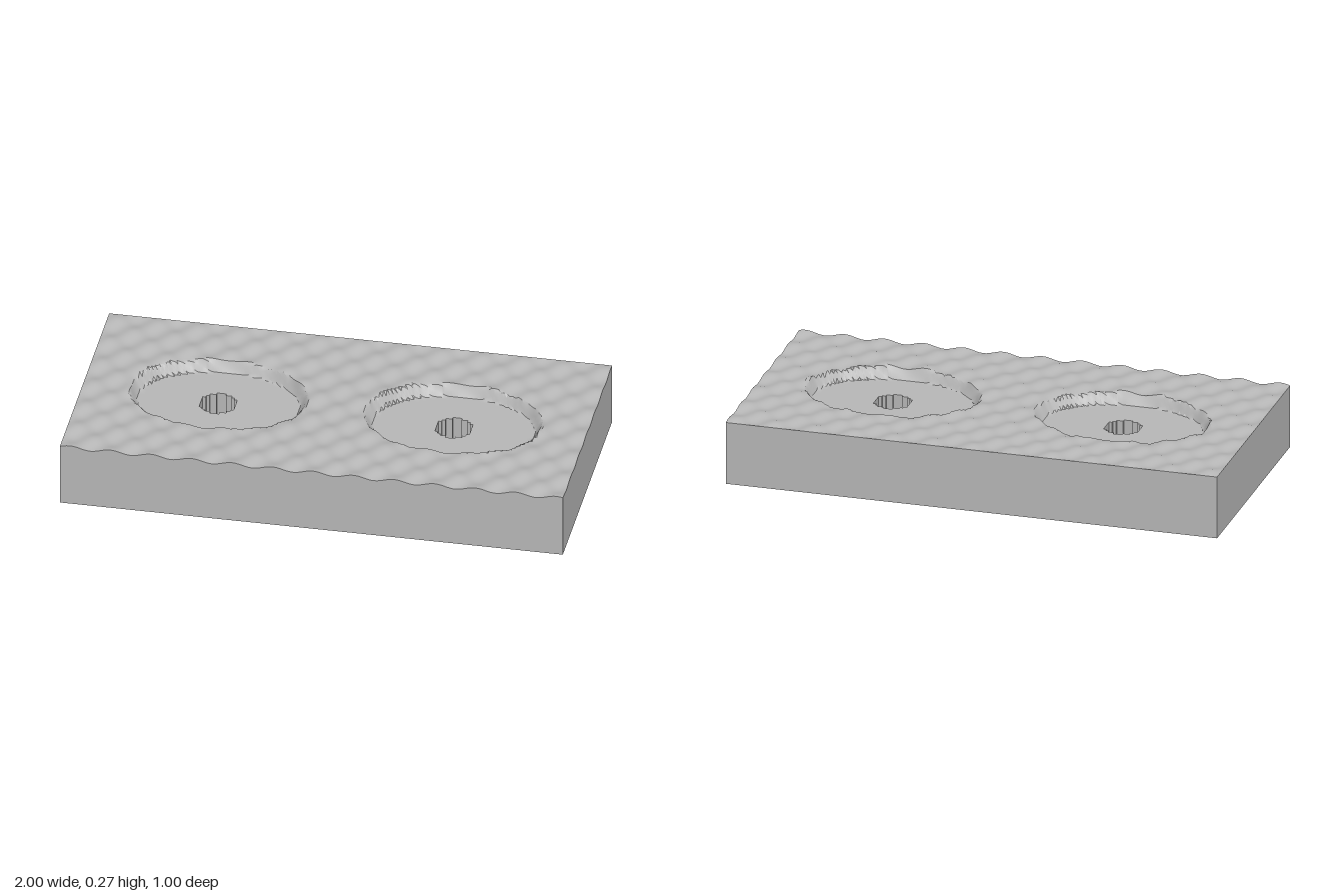
import * as THREE from 'three';
import { toCreasedNormals } from 'three/addons/utils/BufferGeometryUtils.js';

const NX = 160, NZ = 80, CELL = 2 / NX;   // grid over the 2 x 1 slab
const TOP = 0.2575, RIPPLE = 0.0078, WAVE = 39;
const FLOOR = 0.213;                      // height of the basin floors
const BASIN_X = 0.467, HOLE_X = 37.5 * CELL, HOLE_R = 0.07;

const px = i => -1 + i * CELL;
const pz = j => -0.5 + j * CELL;

// Rippled top with two elliptical basins that have steep sloping walls
function height(x, z) {
  const wave = TOP + RIPPLE * Math.sin(WAVE * (x + 1)) * Math.sin(WAVE * (z + 0.5));
  const r = Math.hypot((Math.abs(x) - BASIN_X) / 0.35, z / 0.25);
  const t = THREE.MathUtils.clamp((1 - r) / 0.08, 0, 1);
  return THREE.MathUtils.lerp(wave, FLOOR, t);
}

// A cell is solid unless it lies outside the slab or in a drain hole
function solid(i, j) {
  if (i < 0 || j < 0 || i >= NX || j >= NZ) return false;
  return Math.hypot(Math.abs(px(i + 0.5)) - HOLE_X, pz(j + 0.5)) > HOLE_R;
}

function quad(list, a, b, c, d) {
  list.push(...a, ...b, ...c, ...a, ...c, ...d);
}

function toMesh(name, list, material) {
  const g = new THREE.BufferGeometry();
  g.setAttribute('position', new THREE.Float32BufferAttribute(list, 3));
  const mesh = new THREE.Mesh(toCreasedNormals(g, Math.PI / 6), material);
  mesh.name = name;
  return mesh;
}

export function createModel() {
  const grey = new THREE.MeshStandardMaterial({ color: 0xb8b8b8 });
  grey.name = 'stone grey';

  const top = [], bottom = [], sides = [], holes = [];
  const up = (i, j) => [px(i), height(px(i), pz(j)), pz(j)];
  const down = (i, j) => [px(i), 0, pz(j)];

  for (let i = 0; i < NX; i++) {
    for (let j = 0; j < NZ; j++) {
      if (!solid(i, j)) continue;
      const corners = [[i, j], [i, j + 1], [i + 1, j + 1], [i + 1, j]];
      const above = corners.map(c => up(...c));
      const below = corners.map(c => down(...c));
      quad(top, ...above);
      quad(bottom, below[3], below[2], below[1], below[0]);

      // Upright walls wherever the neighbouring cell is empty
      [[-1, 0], [0, 1], [1, 0], [0, -1]].forEach(([di, dj], k) => {
        const ni = i + di, nj = j + dj, n = (k + 1) % 4;
        if (solid(ni, nj)) return;
        const outside = ni < 0 || nj < 0 || ni >= NX || nj >= NZ;
        quad(outside ? sides : holes, below[k], below[n], above[n], above[k]);
      });
    }
  }

  const group = new THREE.Group();
  group.name = 'rippledBasinSlab';
  group.add(
    toMesh('rippledTopWithBasins', top, grey),
    toMesh('underside', bottom, grey),
    toMesh('outerSides', sides, grey),
    toMesh('drainHoleWalls', holes, grey)
  );
  return group;
}
